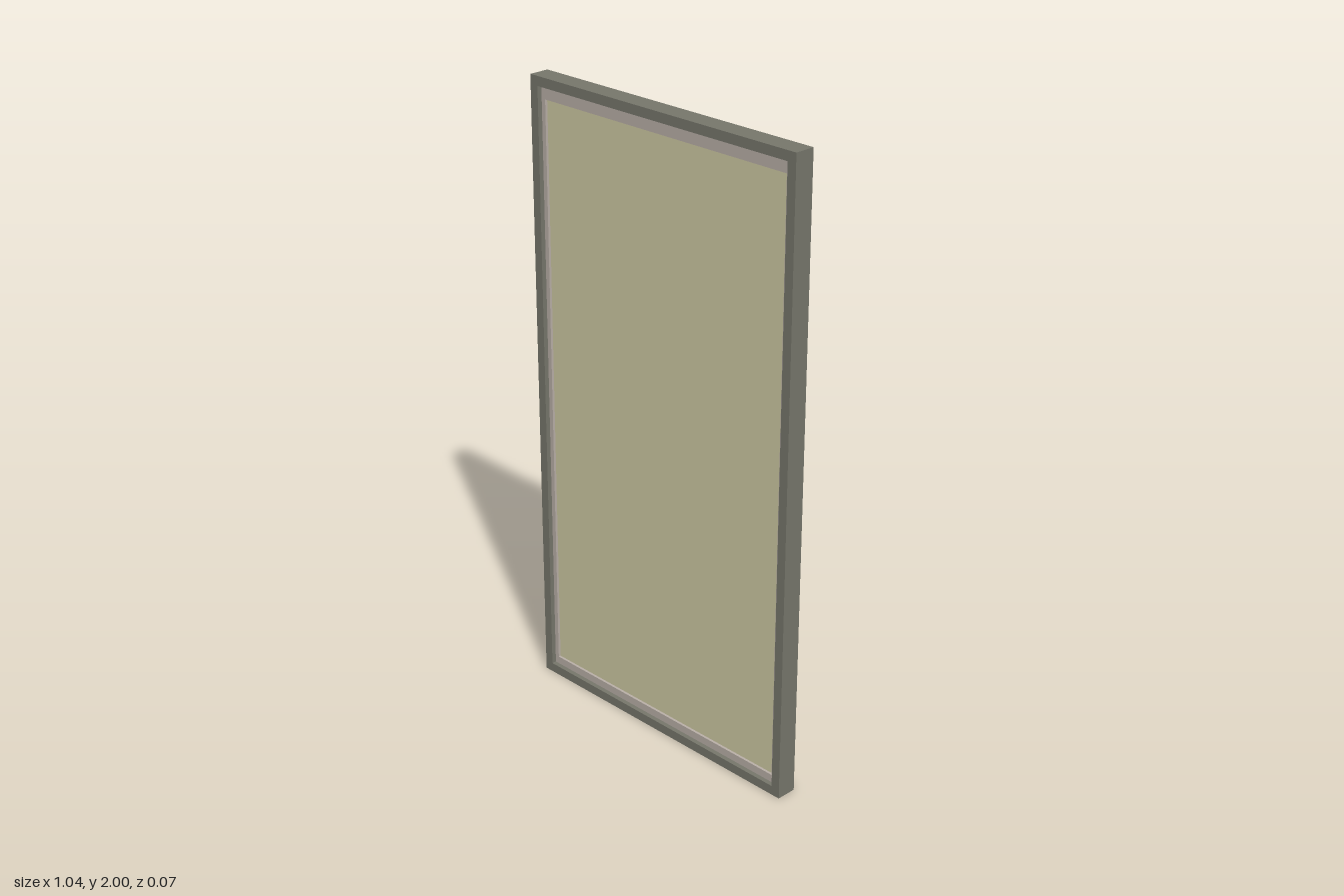
import * as THREE from 'three';

const W = 1.04, H = 2, D = 0.066;

// Mitred rectangular ring. Each profile point is [side, top, bottom, z]: the inset
// from the outer edges, listed front outer -> front inner -> back inner -> back outer.
function ring(name, profile, material) {
  const loops = profile.map(([s, t, b, z]) => {
    const x = W / 2 - s;
    return [[-x, b, z], [x, b, z], [x, H - t, z], [-x, H - t, z]];
  });
  const pos = [];
  loops.forEach((a, i) => {
    const b = loops[(i + 1) % loops.length];
    for (let k = 0; k < 4; k++) {
      const n = (k + 1) % 4;
      pos.push(...a[k], ...a[n], ...b[n], ...a[k], ...b[n], ...b[k]);
    }
  });
  const geo = new THREE.BufferGeometry();
  geo.setAttribute('position', new THREE.Float32BufferAttribute(pos, 3));
  geo.computeVertexNormals();
  const mesh = new THREE.Mesh(geo, material);
  mesh.name = name;
  return mesh;
}

// Same inset on all four sides
const even = (inset, z) => [inset, inset, inset, z];

export function createModel() {
  const group = new THREE.Group();
  group.name = 'framedPanel';

  const frameMat = new THREE.MeshStandardMaterial({ color: 0x77776c });
  const linerMat = new THREE.MeshStandardMaterial({ color: 0xbab0a8 });
  const panelMat = new THREE.MeshStandardMaterial({ color: 0xcfcaa4 });

  // Dark outer frame
  group.add(ring('outerFrame', [
    even(0, D / 2), even(0.03, D / 2), even(0.03, 0.02),
    even(0.03, -0.025), even(0.026, -D / 2), even(0, -D / 2),
  ], frameMat));

  // Flat liner in front of the panel, wider along the top
  group.add(ring('frontLiner', [
    even(0.028, 0.018), [0.045, 0.07, 0.055, 0.018],
    [0.045, 0.07, 0.055, 0.008], even(0.028, 0.008),
  ], linerMat));

  // Rounded retaining bead behind the panel
  const bead = [even(0.028, 0.002), [0.051, 0.07, 0.056, 0.002]];
  for (let i = 0; i <= 4; i++) {
    const a = (i / 4) * Math.PI / 2, c = Math.cos(a);
    bead.push([
      0.028 + 0.023 * c, 0.028 + 0.042 * c, 0.028 + 0.028 * c,
      -0.008 - 0.021 * Math.sin(a),
    ]);
  }
  group.add(ring('backBead', bead, linerMat));

  // Infill panel
  const panel = new THREE.Mesh(new THREE.BoxGeometry(W - 0.07, H - 0.07, 0.008), panelMat);
  panel.name = 'panel';
  panel.position.set(0, H / 2, 0.006);
  group.add(panel);

  return group;
}
